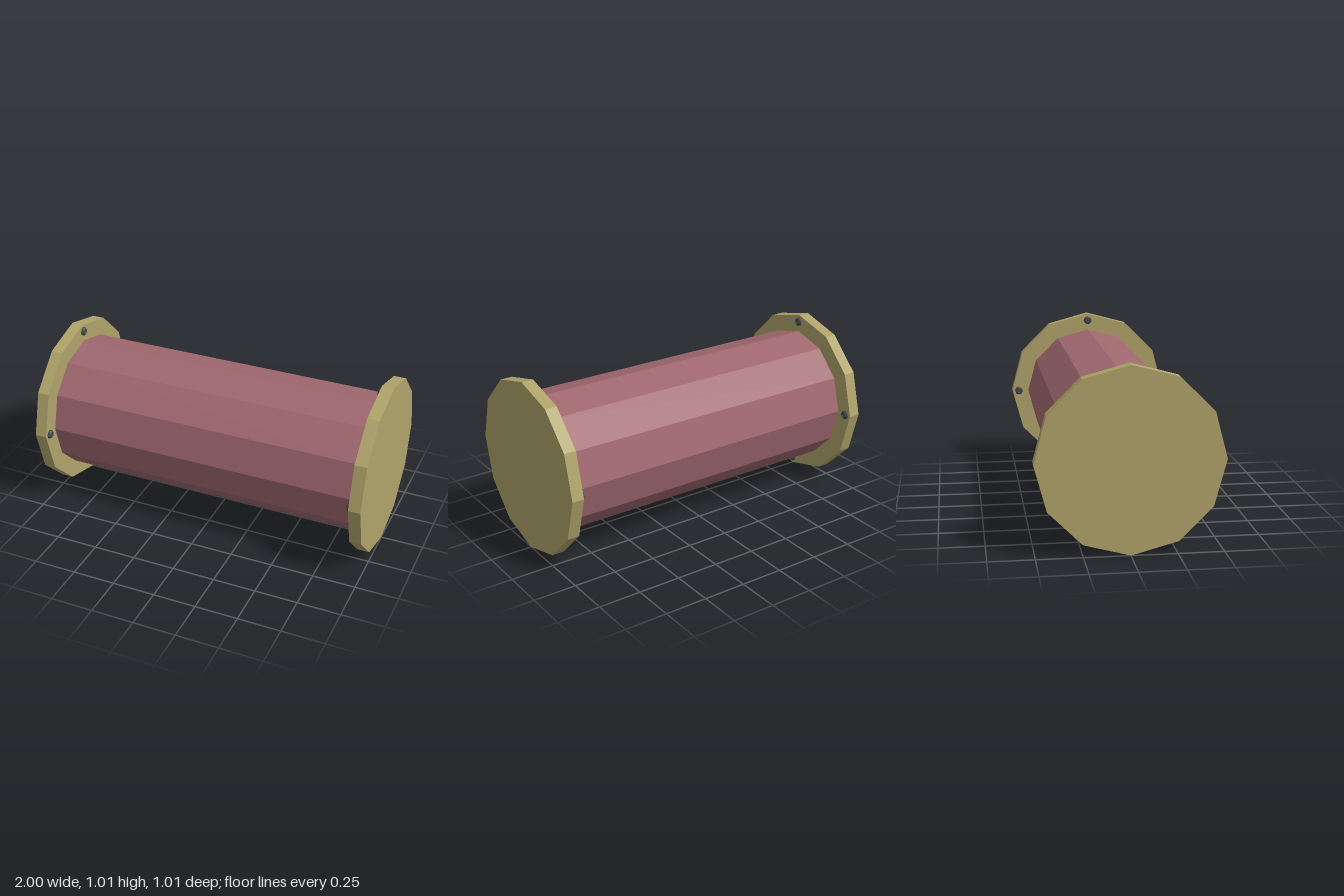
import * as THREE from 'three';

const CENTRE_Y = 0.505;
const material = (color) => new THREE.MeshStandardMaterial({ color, flatShading: true });

export function createModel() {
  const model = new THREE.Group();
  model.name = 'flangedPipe';
  const pipeMat = material(0xa0686f);
  const flangeMat = material(0xb0a46a);
  const boltMat = material(0x414a4a);

  const add = (name, geometry, mat, parent) => {
    const mesh = new THREE.Mesh(geometry, mat);
    mesh.name = name;
    parent.add(mesh);
    return mesh;
  };

  // Twelve-sided pipe lying along x
  const pipeGeo = new THREE.CylinderGeometry(0.4, 0.4, 1.87, 12).rotateZ(Math.PI / 2);
  add('pipe', pipeGeo, pipeMat, model).position.y = CENTRE_Y;

  // Closed end flange and chamfered bolt head, both with their outer side towards +x
  const flangeGeo = new THREE.CylinderGeometry(0.505, 0.505, 0.07, 12).rotateZ(Math.PI / 2);
  const boltGeo = new THREE.LatheGeometry([
    [0, -0.01], [0.026, -0.01], [0.026, 0.009], [0.019, 0.016], [0.013, 0.016], [0.011, 0.012], [0, 0.012],
  ].map(([r, h]) => new THREE.Vector2(r, h)), 8).rotateZ(Math.PI / 2);

  for (const side of [1, -1]) {
    const end = new THREE.Group();
    end.name = side > 0 ? 'leftEnd' : 'rightEnd';
    end.position.y = CENTRE_Y;
    end.rotation.y = side > 0 ? 0 : Math.PI;
    model.add(end);
    add('flange', flangeGeo, flangeMat, end).position.x = 0.965;

    // Four bolt heads on the inner face
    for (let i = 0; i < 4; i++) {
      const a = (i * Math.PI) / 2;
      add('bolt', boltGeo, boltMat, end).position.set(0.93, 0.463 * Math.cos(a), 0.463 * Math.sin(a));
    }
  }
  return model;
}
